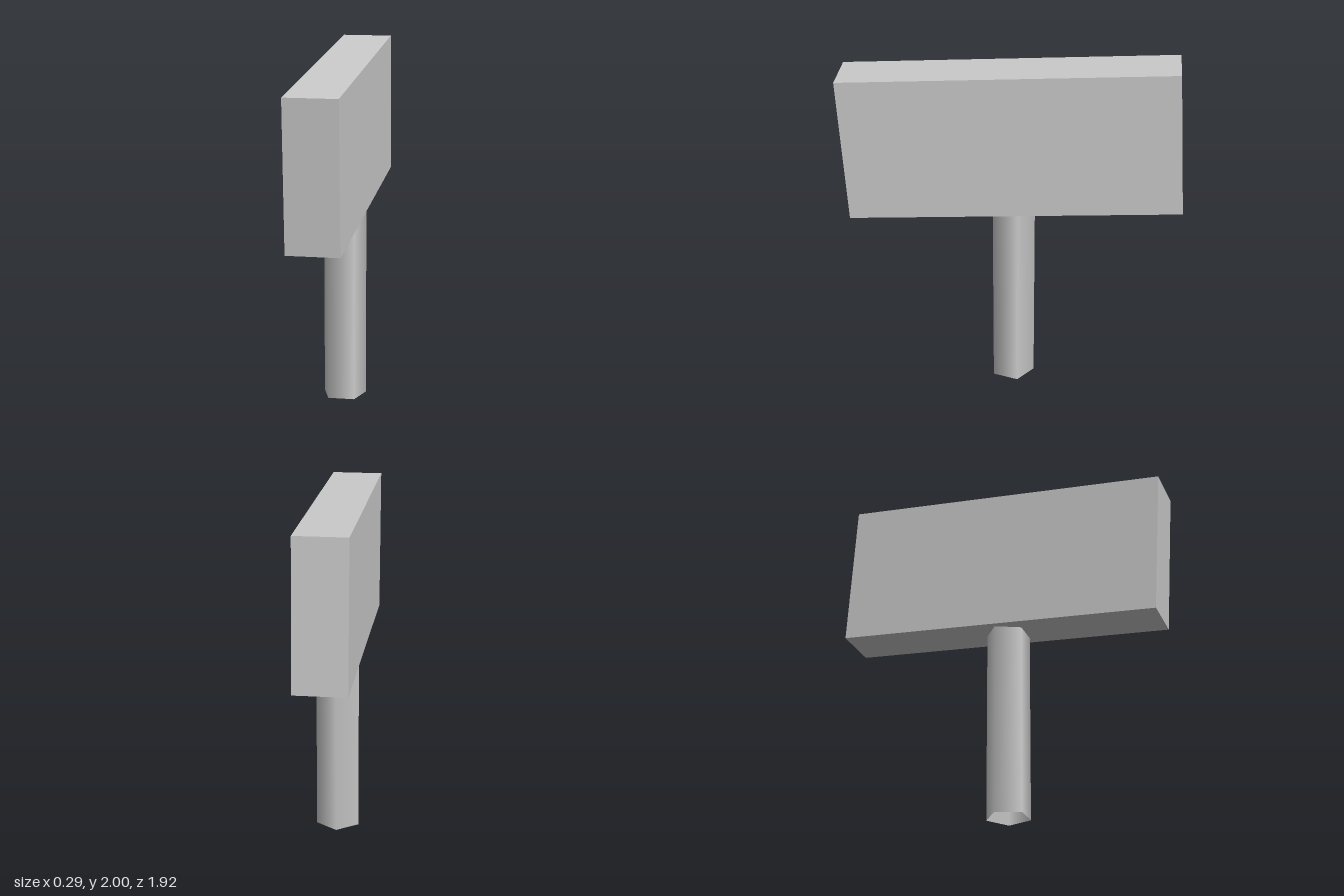
import * as THREE from 'three';

export function createModel() {
  const group = new THREE.Group();

  // Thick rectangular head, tipped slightly down towards the front
  const head = new THREE.Mesh(
    new THREE.BoxGeometry(0.293, 0.832, 1.878),
    new THREE.MeshStandardMaterial({ color: 0xcccccc })
  );
  head.name = 'head';
  head.position.y = 1.53;
  head.rotation.x = 0.0586;
  group.add(head);

  // Five-sided smooth post, open at the ends, one corner pointing back
  const bottom = 0, top = 1.13;
  const post = new THREE.Mesh(
    new THREE.CylinderGeometry(0.129, 0.129, top - bottom, 5, 1, true, Math.PI),
    new THREE.MeshStandardMaterial({ color: 0xcccccc, side: THREE.DoubleSide })
  );
  post.name = 'post';
  post.position.set(0.011, (top + bottom) / 2, 0);
  group.add(post);

  return group;
}
